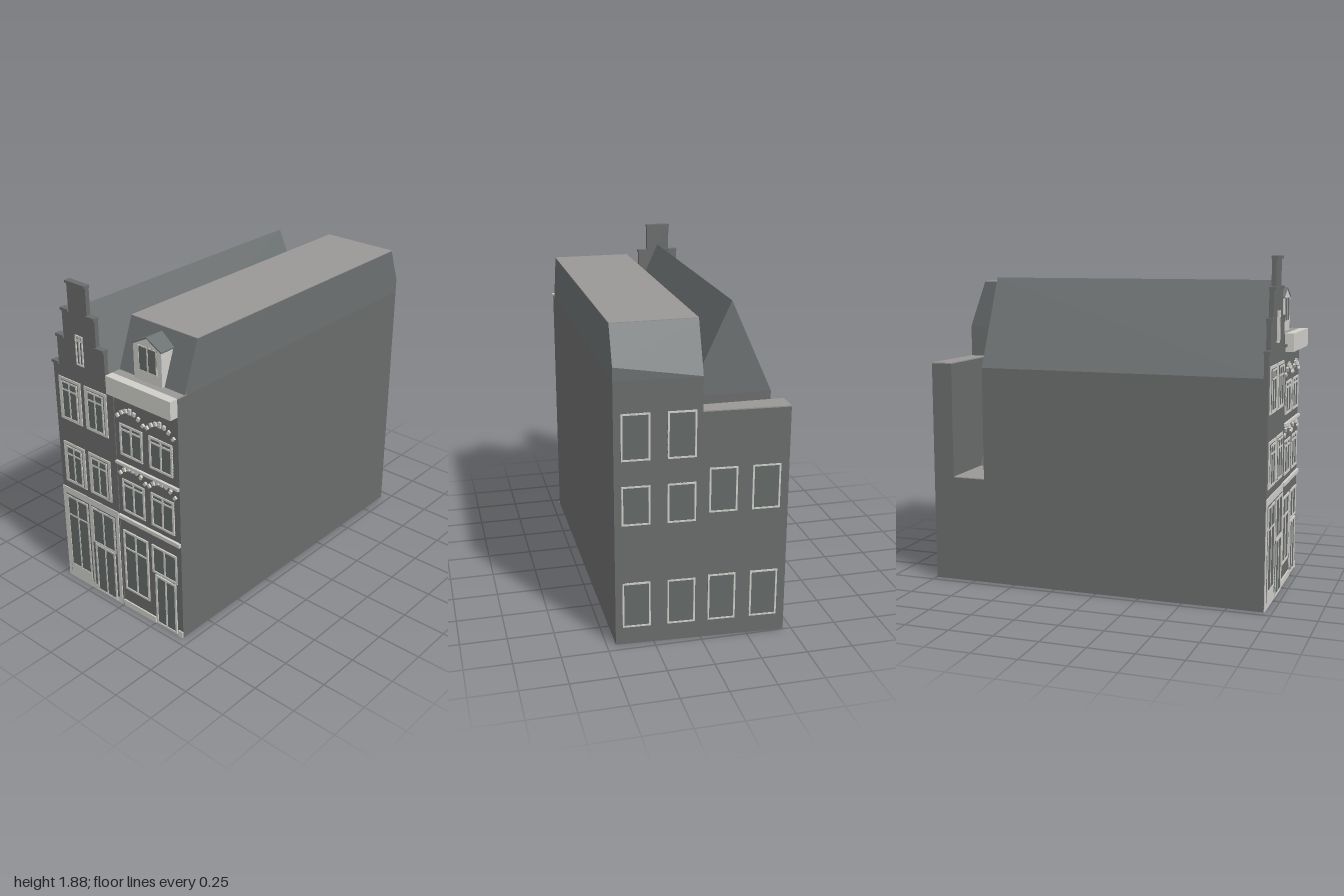
import * as THREE from 'three';
import { ConvexGeometry } from 'three/addons/geometries/ConvexGeometry.js';

const material = (name, color) => {
  const m = new THREE.MeshStandardMaterial({ color });
  m.name = name;
  return m;
};

export function createModel() {
  const wall = material('wall grey', 0x6a6c6b);
  const slate = material('roof slate', 0x6b7070);
  const flat = material('flat roof grey', 0x9a9896);
  const trim = material('pale trim', 0xcfcec9);
  const glass = material('glass grey', 0x646a68);

  const model = new THREE.Group();
  model.name = 'canalHouses';

  const group = (name, parent = model) => {
    const g = new THREE.Group();
    g.name = name;
    parent.add(g);
    return g;
  };
  const add = (name, geometry, mat, parent = model) => {
    const m = new THREE.Mesh(geometry, mat);
    m.name = name;
    parent.add(m);
    return m;
  };
  // Box given by its limits on each axis
  const box = (name, x0, x1, y0, y1, z0, z1, mat, parent) => {
    const m = add(name, new THREE.BoxGeometry(x1 - x0, y1 - y0, z1 - z0), mat, parent);
    m.position.set((x0 + x1) / 2, (y0 + y1) / 2, (z0 + z1) / 2);
    return m;
  };
  const hull = (name, points, mat, parent) =>
    add(name, new ConvexGeometry(points.map(p => new THREE.Vector3(...p))), mat, parent);

  // The rear wall runs slightly askew
  const backZ = x => -0.971 + 0.055 * x;
  const askewBlock = (name, x0, x1, y0, y1, zFront, mat, parent) => {
    const pts = [];
    for (const x of [x0, x1]) for (const y of [y0, y1]) pts.push([x, y, zFront], [x, y, backZ(x)]);
    return hull(name, pts, mat, parent);
  };

  // Framed window: pane, border, optional crossbar height and mullion
  const windowUnit = (name, x0, x1, y0, y1, z, parent, { bar, mullion = true, w = 0.012, d = 0.008 } = {}) => {
    const g = group(name, parent);
    box('pane', x0, x1, y0, y1, z - 0.002, z + 0.003, glass, g);
    box('frameLeft', x0, x0 + w, y0, y1, z, z + d, trim, g);
    box('frameRight', x1 - w, x1, y0, y1, z, z + d, trim, g);
    box('frameSill', x0 + w, x1 - w, y0, y0 + w, z, z + d, trim, g);
    box('frameHead', x0 + w, x1 - w, y1 - w, y1, z, z + d, trim, g);
    const c = (x0 + x1) / 2;
    if (mullion) box('mullion', c - 0.005, c + 0.005, y0 + w, y1 - w, z, z + d - 0.001, trim, g);
    if (bar) box('crossbar', x0 + w, x1 - w, bar - 0.005, bar + 0.005, z, z + d - 0.001, trim, g);
    return g;
  };

  // ---------- Step-gabled house ----------
  const left = group('stepGableHouse');
  const XL = -0.455, RIDGE = -0.23;
  box('mainWalls', XL, 0, 0, 1.25, -0.68, 0.93, wall, left);
  const roofPoints = [];
  for (const z of [-0.68, 0.93]) roofPoints.push([XL, 1.25, z], [0, 1.25, z], [RIDGE, 1.75, z]);
  hull('saddleRoof', roofPoints, slate, left);

  // Facade with stepped top
  const steps = [[-0.455, 0, 1.39], [-0.41, -0.052, 1.555], [-0.355, -0.108, 1.715], [-0.303, -0.163, 1.875]];
  const s = new THREE.Shape();
  s.moveTo(XL, 0);
  steps.forEach(([a, , y], i) => {
    if (i) s.lineTo(a, steps[i - 1][2]);
    s.lineTo(a, y);
  });
  [...steps].reverse().forEach(([, b, y], i, r) => {
    s.lineTo(b, y);
    s.lineTo(b, i < 3 ? r[i + 1][2] : 0);
  });
  const facade = add('steppedFacade', new THREE.ExtrudeGeometry(s, { depth: 0.025, bevelEnabled: false }), wall, left);
  facade.position.z = 0.93;
  // Coping on each step
  steps.forEach(([a, b, y], i) => {
    const next = steps[i + 1];
    const spans = next ? [[a, next[0]], [next[1], b]] : [[a, b]];
    for (const [p, q] of spans) box('coping', p - 0.003, q + 0.003, y - 0.012, y + 0.003, 0.928, 0.964, wall, left);
  });
  windowUnit('gableWindow', -0.259, -0.204, 1.42, 1.59, 0.955, left, { bar: 1.56, w: 0.008 });

  // Upper windows with broad surrounds
  for (const y of [1.055, 0.657]) for (const x of [-0.418, -0.219]) {
    const g = group('surroundedWindow', left);
    box('surround', x, x + 0.169, y, y + 0.255, 0.953, 0.96, trim, g);
    box('reveal', x + 0.018, x + 0.151, y + 0.01, y + 0.24, 0.958, 0.961, wall, g);
    windowUnit('sash', x + 0.022, x + 0.147, y + 0.012, y + 0.236, 0.96, g, { bar: y + 0.186, w: 0.009, d: 0.006 });
  }

  // Pale shop front
  const shop = group('shopFront', left);
  box('shopPanel', XL, -0.008, 0, 0.612, 0.953, 0.96, trim, shop);
  box('shopWindowReveal', -0.43, -0.242, 0.04, 0.572, 0.957, 0.961, wall, shop);
  box('stallRiser', -0.422, -0.25, 0.035, 0.1, 0.958, 0.965, trim, shop);
  windowUnit('shopWindow', -0.424, -0.248, 0.085, 0.565, 0.96, shop, { bar: 0.438, d: 0.006 });
  box('doorReveal', -0.225, -0.03, 0.04, 0.572, 0.957, 0.961, wall, shop);
  windowUnit('fanlight', -0.219, -0.035, 0.333, 0.567, 0.96, shop, { d: 0.006 });
  windowUnit('door', -0.204, -0.045, 0.008, 0.33, 0.96, shop, { d: 0.006 });

  // Rear court, lean-to and annex
  const rear = group('rearAnnex', left);
  box('courtBase', XL, 0, 0, 0.606, -0.873, -0.68, wall, rear);
  box('courtFloor', XL, -0.11, 0.606, 0.611, -0.873, -0.68, flat, rear);
  const lean = [];
  for (const z of [-0.873, -0.68]) lean.push([-0.11, 0.606, z], [0, 0.606, z], [0, 0.8, z]);
  hull('leanToRoof', lean, slate, rear);
  askewBlock('annexWalls', XL, 0, 0, 1.265, -0.873, wall, rear);
  askewBlock('annexRoof', XL, 0, 1.265, 1.271, -0.873, flat, rear);

  // ---------- Mansard house ----------
  const right = group('mansardHouse');
  const XR = 0.452;
  askewBlock('walls', 0, XR, 0, 1.447, 0.95, wall, right);
  box('gutterLedge', 0, XR, 1.447, 1.452, 0.88, 0.95, flat, right);
  box('cornice', 0, XR, 1.35, 1.452, 0.95, 1.0, trim, right);
  const mansard = [];
  for (const x of [0, XR]) {
    const zb = backZ(x);
    mansard.push([x, 1.447, 0.9], [x, 1.447, zb], [x, 1.72 - 2.75 * (-zb - 0.873), zb],
      [x, 1.718, 0.8], [x, 1.718, -0.873]);
  }
  hull('mansardRoof', mansard, slate, right);
  box('flatRoof', 0, XR, 1.717, 1.722, -0.873, 0.8, flat, right);

  // Dormer with pitched roof
  const dormer = group('dormer', right);
  const house = new THREE.Shape([[0.124, 1.452], [0.318, 1.452], [0.318, 1.64], [0.221, 1.69], [0.124, 1.64]]
    .map(p => new THREE.Vector2(...p)));
  add('dormerBody', new THREE.ExtrudeGeometry(house, { depth: 0.105, bevelEnabled: false }), trim, dormer).position.z = 0.81;
  for (const side of [-1, 1]) {
    const e = 0.221 + side * 0.1, pts = [];
    for (const z of [0.8, 0.918]) pts.push([0.221, 1.69, z], [0.221, 1.698, z], [e, 1.638, z], [e, 1.646, z]);
    hull('dormerRoof', pts, slate, dormer);
  }
  windowUnit('dormerWindow', 0.16, 0.288, 1.505, 1.645, 0.915, dormer, { w: 0.006, d: 0.005 });

  // String courses and plinth
  box('lowerStringCourse', 0, XR, 0.588, 0.61, 0.95, 0.965, trim, right);
  box('upperStringCourse', 0, XR, 0.93, 0.946, 0.95, 0.965, trim, right);
  box('plinth', 0, 0.25, 0, 0.037, 0.95, 0.958, trim, right);
  box('plinth', 0.42, XR, 0, 0.037, 0.95, 0.958, trim, right);

  // Upper windows under arches of alternating pale stones
  for (const [y0, y1, bar, arch] of [[0.645, 0.846, 0.81, 0.878], [0.993, 1.18, 1.146, 1.22]]) {
    for (const cx of [0.118, 0.331]) {
      windowUnit('archedWindow', cx - 0.082, cx + 0.082, y0, y1, 0.95, right, { bar });
      for (let i = -3; i <= 3; i++) {
        const t = i / 3;
        const stone = add('archStone', new THREE.BoxGeometry(0.017, i ? 0.022 : 0.032, 0.012), trim, right);
        stone.position.set(cx + t * 0.092, arch + 0.048 * (1 - t * t), 0.955);
        stone.rotation.z = -t * 0.7;
      }
    }
  }
  // Ground floor openings
  windowUnit('groundWindow', 0.022, 0.21, 0.124, 0.517, 0.95, right, { bar: 0.403 });
  windowUnit('fanlight', 0.239, 0.423, 0.34, 0.517, 0.95, right);
  windowUnit('door', 0.258, 0.412, 0.006, 0.33, 0.95, right);

  // ---------- Rear windows ----------
  const back = group('rearWindows');
  const rows = { right: [[0.1, 0.355], [0.68, 0.895], [1.03, 1.28]], left: [[0.1, 0.365], [0.72, 0.965]] };
  for (const [x, list] of [[0.341, rows.right], [0.105, rows.right], [-0.111, rows.left], [-0.337, rows.left]]) {
    const column = group('rearWindowColumn', back);
    column.position.set(x, 0, backZ(x));
    column.rotation.y = Math.PI - 0.055;
    for (const [y0, y1] of list) windowUnit('rearWindow', -0.074, 0.074, y0, y1, 0, column, { mullion: false, w: 0.009, d: 0.006 });
  }
  return model;
}
